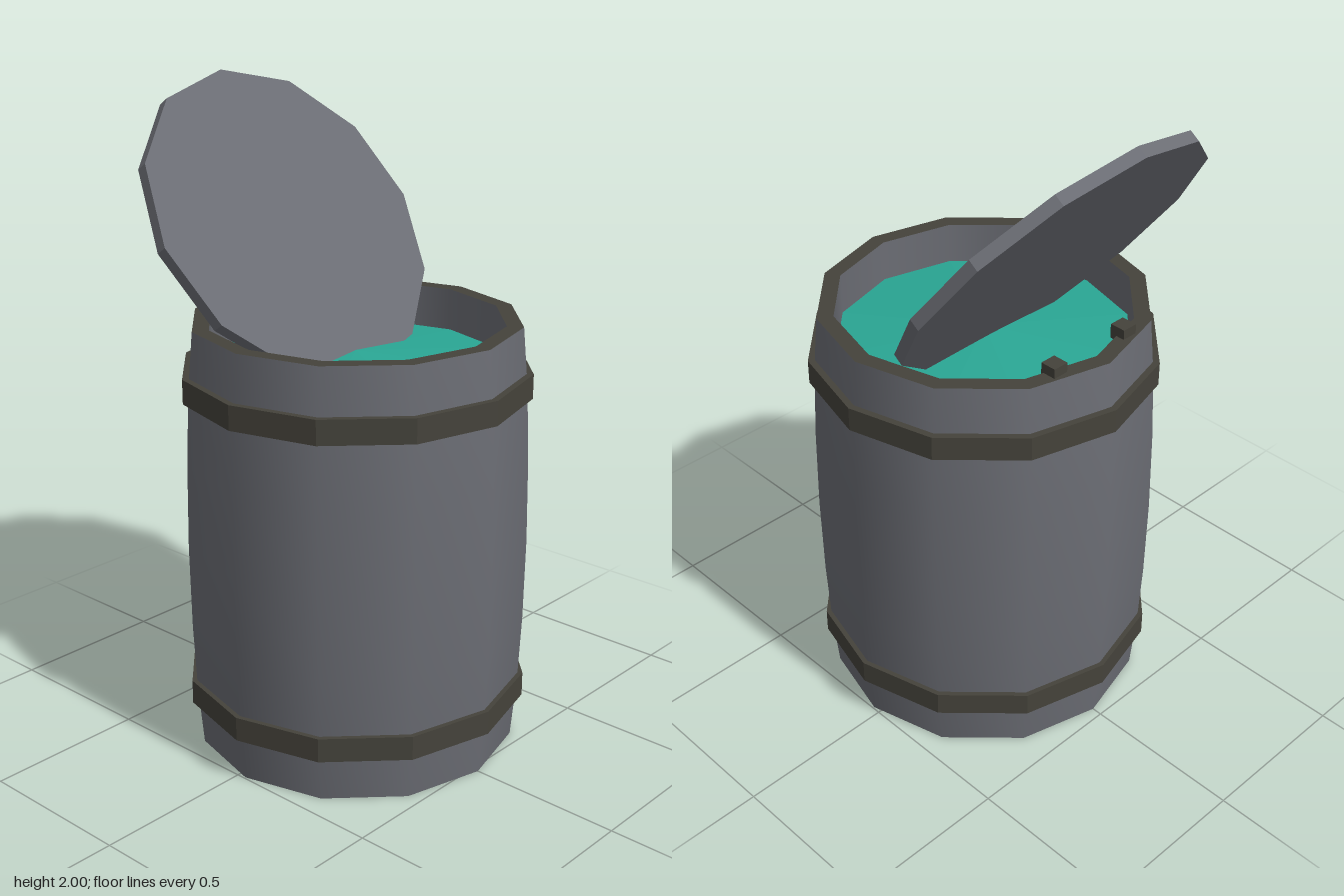
import * as THREE from 'three';

const SIDES = 12;
const grey = new THREE.MeshStandardMaterial({ color: 0x6b6d74 });
const greyFlat = new THREE.MeshStandardMaterial({ color: 0x6b6d74, flatShading: true });
const iron = new THREE.MeshStandardMaterial({ color: 0x45433b, flatShading: true });
const teal = new THREE.MeshStandardMaterial({ color: 0x2aa694, flatShading: true });

// Twelve-sided turned part from [radius, height] pairs
function turned(name, profile, material) {
  const points = profile.map(([r, y]) => new THREE.Vector2(r, y));
  const mesh = new THREE.Mesh(new THREE.LatheGeometry(points, SIDES), material);
  mesh.name = name;
  return mesh;
}

export function createModel() {
  const model = new THREE.Group();
  model.name = 'openBarrel';

  const barrel = new THREE.Group();
  barrel.name = 'barrel';
  barrel.position.z = 0.027;
  model.add(barrel);

  // Bulging staves, bottom and inner wall
  barrel.add(turned('body', [
    [0.495, 0], [0.511, 0.18], [0.521, 0.4], [0.525, 0.66],
    [0.521, 0.92], [0.511, 1.145], [0.495, 1.325],
  ], grey));
  barrel.add(turned('bottom', [[0, 0], [0.495, 0]], greyFlat));
  barrel.add(turned('innerWall', [[0.445, 1.325], [0.445, 1.18]], grey));
  barrel.add(turned('rim', [[0.495, 1.325], [0.445, 1.325]], iron));

  // Liquid, slightly raised in the middle
  barrel.add(turned('liquid', [[0.445, 1.195], [0, 1.226]], teal));

  // Hoops
  for (const [name, y] of [['lowerHoop', 0.14], ['upperHoop', 1.11]]) {
    barrel.add(turned(name, [
      [0.495, y], [0.528, y], [0.528, y + 0.075], [0.495, y + 0.075],
    ], iron));
  }

  // Hinge blocks on the back of the rim
  for (const side of [-1, 1]) {
    const hinge = new THREE.Mesh(new THREE.BoxGeometry(0.05, 0.045, 0.05), iron);
    hinge.name = side > 0 ? 'leftHinge' : 'rightHinge';
    hinge.position.set(side * 0.14, 1.3325, -0.39);
    model.add(hinge);
  }

  // Tilted lid, its lower edge dipping into the liquid
  const lid = new THREE.Mesh(new THREE.CylinderGeometry(0.512, 0.512, 0.037, SIDES), greyFlat);
  lid.name = 'lid';
  lid.rotation.x = 0.952;
  lid.position.set(0, 1.572, -0.243);
  model.add(lid);

  return model;
}
